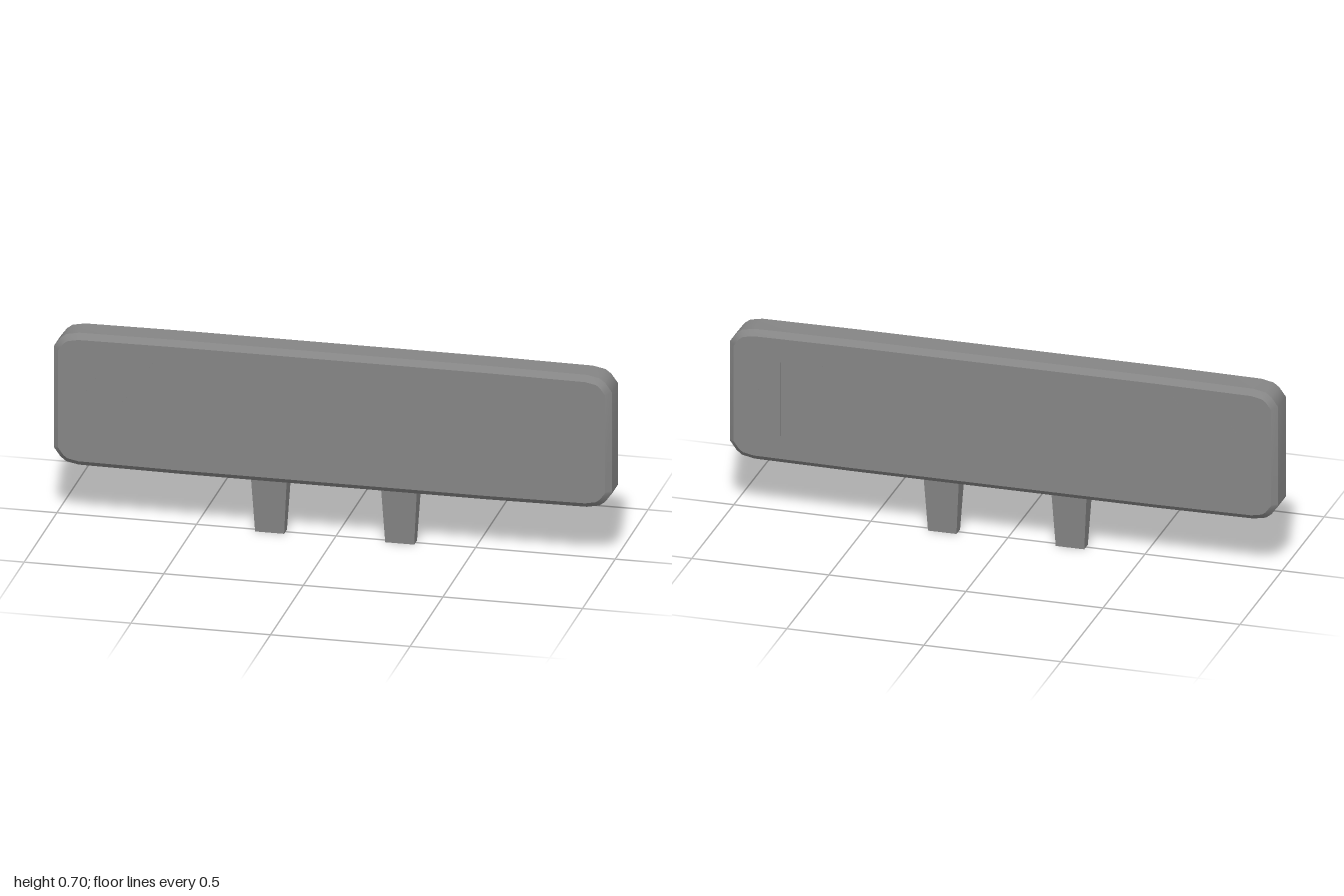
import * as THREE from 'three';
import { toCreasedNormals } from 'three/addons/utils/BufferGeometryUtils.js';

const MID_Y = 0.451;

export function createModel() {
  const group = new THREE.Group();
  group.name = 'directionSign';
  const material = new THREE.MeshStandardMaterial({ color: 0x858585 });

  const add = (name, geometry, parent = group) => {
    const mesh = new THREE.Mesh(geometry, material);
    mesh.name = name;
    parent.add(mesh);
    return mesh;
  };

  // Board: faceted rounded outline with slightly bowed long edges and a chamfered rim
  const quarter = [[1, 0.18], [1, 0.188], [0.975, 0.222], [0.955, 0.237], [0.91, 0.246], [0.56, 0.249]];
  const flipped = quarter.slice().reverse();
  const outline = [
    ...quarter,
    ...flipped.map(([x, y]) => [-x, y]),
    ...quarter.map(([x, y]) => [-x, -y]),
    ...flipped.map(([x, y]) => [x, -y]),
  ].map(([x, y]) => new THREE.Vector2(x, y));
  const board = new THREE.ExtrudeGeometry(new THREE.Shape(outline), {
    depth: 0.094, bevelEnabled: true, bevelSegments: 1,
    bevelSize: 0.02, bevelThickness: 0.02, bevelOffset: -0.02,
  });
  board.translate(0, MID_Y, -0.046);
  add('board', toCreasedNormals(board, 0.7));

  // Arrows: thin triangular plates on both faces, pointing outward at each end
  const triangle = (x0, x1, h) => new THREE.ExtrudeGeometry(new THREE.Shape([
    new THREE.Vector2(x0, -h), new THREE.Vector2(x1, 0), new THREE.Vector2(x0, h),
  ]), { depth: 0.004, bevelEnabled: false });
  const arrows = { largeArrow: triangle(0.62, 0.755, 0.192), smallArrow: triangle(0.81, 0.908, 0.139) };
  for (const face of ['front', 'back']) {
    const panel = new THREE.Group();
    panel.name = face + 'Arrows';
    panel.position.set(0, MID_Y, face === 'front' ? 0.0655 : -0.0635);
    panel.rotation.y = face === 'front' ? 0 : Math.PI;
    group.add(panel);
    for (const turn of [0, Math.PI]) {
      for (const [name, geometry] of Object.entries(arrows)) {
        add(name, geometry, panel).rotation.z = turn;
      }
    }
  }

  // Legs: pegs that taper towards the ground
  const leg = new THREE.BoxGeometry(0.13, 0.22, 0.07);
  const p = leg.attributes.position;
  for (let i = 0; i < p.count; i++) {
    if (p.getY(i) < 0) {
      p.setX(i, p.getX(i) * 0.8);
      p.setZ(i, p.getZ(i) * 0.61);
    }
  }
  leg.computeVertexNormals();
  for (const side of [-1, 1]) {
    add(side > 0 ? 'leftLeg' : 'rightLeg', leg).position.set(side * 0.233, 0.11, 0);
  }

  return group;
}
